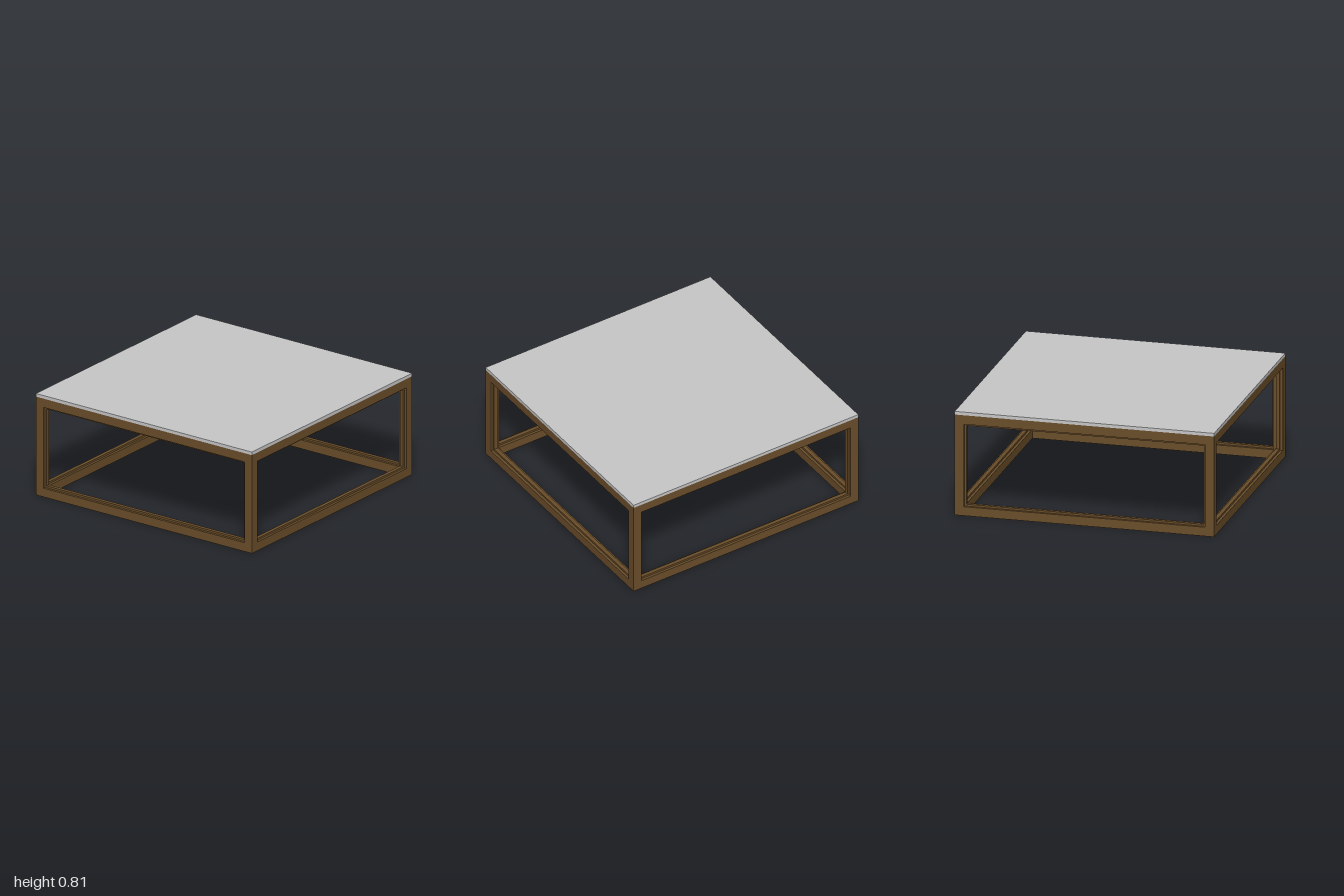
import * as THREE from 'three';

const wood = new THREE.MeshStandardMaterial({ name: 'brown wood', color: 0x6b4e2a });
const stone = new THREE.MeshStandardMaterial({ name: 'pale grey top', color: 0xc8c8c8 });

const H = 0.785;    // frame height
const BAR = 0.07;   // bar thickness
const LIP = 0.015;  // how far the lip stands into each opening
const LIP_W = 0.03; // lip width, centred on the bar

function box(parent, name, material, size, position) {
  const mesh = new THREE.Mesh(new THREE.BoxGeometry(...size), material);
  mesh.name = name;
  mesh.position.set(...position);
  parent.add(mesh);
}

// One picture-frame lip lining a side opening
function lipGeometry() {
  const rect = (target, x, y0, y1) => {
    target.moveTo(-x, y0);
    target.lineTo(x, y0);
    target.lineTo(x, y1);
    target.lineTo(-x, y1);
    target.closePath();
    return target;
  };
  const shape = rect(new THREE.Shape(), 1 - BAR, BAR, H - BAR);
  shape.holes.push(rect(new THREE.Path(), 1 - BAR - LIP, BAR + LIP, H - BAR - LIP));
  const geometry = new THREE.ExtrudeGeometry(shape, { depth: LIP_W, bevelEnabled: false });
  return geometry.translate(0, 0, 1 - BAR / 2 - LIP_W / 2);
}

export function createModel() {
  const table = new THREE.Group();
  table.name = 'coffeeTable';

  // Corner legs
  const c = 1 - BAR / 2;
  for (const x of [-c, c]) {
    for (const z of [-c, c]) box(table, 'leg', wood, [BAR, H, BAR], [x, H / 2, z]);
  }

  // Four sides, each with a lower rail, an upper rail and an inner lip
  const lip = lipGeometry();
  for (let i = 0; i < 4; i++) {
    const side = new THREE.Group();
    side.name = 'sideFrame';
    side.rotation.y = i * Math.PI / 2;
    const length = 2 - 2 * BAR;
    box(side, 'lowerRail', wood, [length, BAR, BAR], [0, BAR / 2, c]);
    box(side, 'upperRail', wood, [length, BAR, BAR], [0, H - BAR / 2, c]);
    const lipMesh = new THREE.Mesh(lip, wood);
    lipMesh.name = 'innerLip';
    side.add(lipMesh);
    table.add(side);
  }

  // Two-layer table top
  box(table, 'topUnderlay', stone, [2, 0.01, 2], [0, H + 0.005, 0]);
  box(table, 'tableTop', stone, [2, 0.015, 2], [0, H + 0.0175, 0]);
  return table;
}
